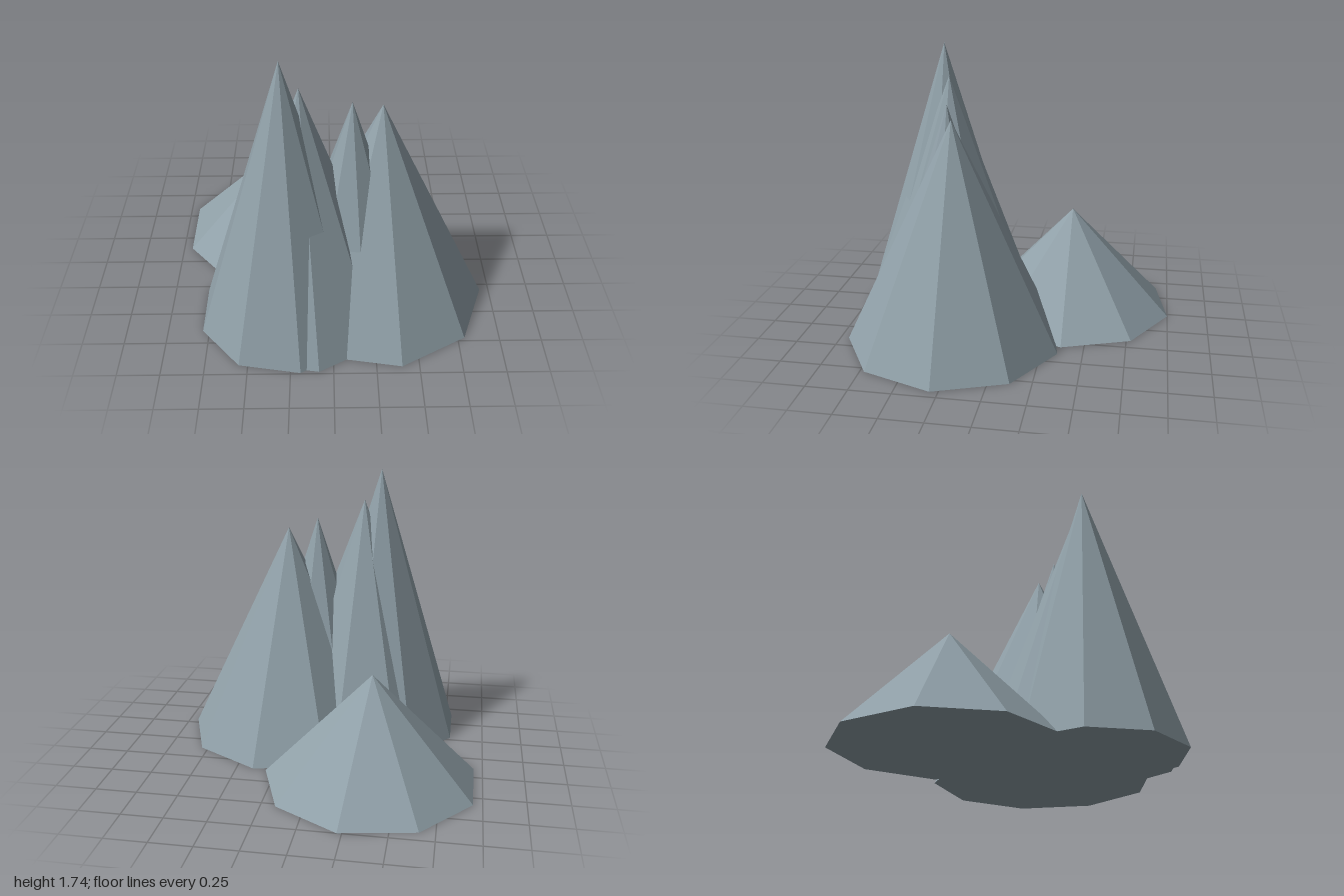
import * as THREE from 'three';

export function createModel() {
  const group = new THREE.Group();
  group.name = 'mountains';
  const rock = new THREE.MeshStandardMaterial({ color: 0x90a0a8 });
  rock.name = 'blue grey rock';

  // Nine-sided peak standing on the ground, one corner pointing to +x
  function addPeak(name, x, z, radius, height) {
    const geometry = new THREE.ConeGeometry(radius, height, 9, 1, false, Math.PI / 2).toNonIndexed();
    geometry.computeVertexNormals(); // flat facets
    geometry.clearGroups();
    const peak = new THREE.Mesh(geometry, rock);
    peak.name = name;
    peak.position.set(x, height / 2, z);
    group.add(peak);
  }

  // Ridge of four overlapping peaks, tallest first
  addPeak('tallPeak', -0.285, 0.465, 0.537, 1.74);
  addPeak('secondPeak', -0.185, 0.415, 0.58, 1.55);
  addPeak('thirdPeak', 0.11, 0.365, 0.47, 1.435);
  addPeak('rightPeak', 0.285, 0.30, 0.66, 1.38);

  // Low hill behind
  addPeak('backHill', -0.335, -0.36, 0.65, 0.67);

  return group;
}
